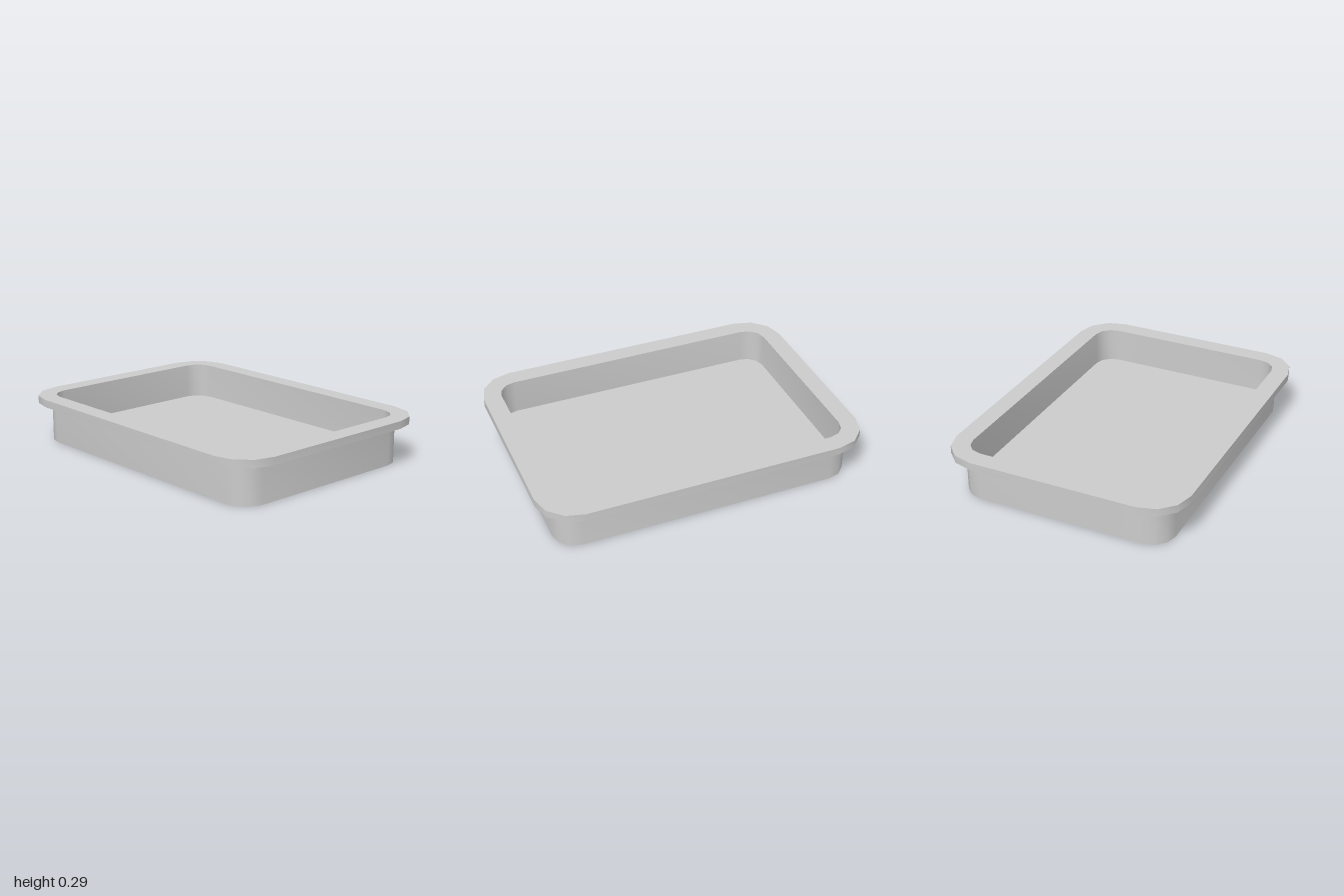
import * as THREE from 'three';
import { toCreasedNormals } from 'three/addons/utils/BufferGeometryUtils.js';

// centres of the corner arcs, shared by every outline
const CX = 0.51, CZ = 0.775, CORNER_STEPS = 3;

// rounded rectangle at height y; radius 'centre' (null) collapses it to a point
function outline([r, y]) {
  const points = [];
  for (let corner = 0; corner < 4; corner++) {
    const sx = corner === 0 || corner === 3 ? 1 : -1;
    const sz = corner < 2 ? 1 : -1;
    for (let i = 0; i <= CORNER_STEPS; i++) {
      const a = (corner + i / CORNER_STEPS) * Math.PI / 2;
      points.push(r === null
        ? [0, y, 0]
        : [sx * CX + r * Math.cos(a), y, sz * CZ + r * Math.sin(a)]);
    }
  }
  return points;
}

// skin running through successive [corner radius, height] outlines
function loft(name, profile, material) {
  const rings = profile.map(outline);
  const n = rings[0].length;
  const positions = [];
  for (let k = 0; k + 1 < rings.length; k++) {
    for (let i = 0; i < n; i++) {
      const j = (i + 1) % n;
      const a = rings[k][i], b = rings[k][j];
      const c = rings[k + 1][j], d = rings[k + 1][i];
      if (profile[k][0] !== null) positions.push(...a, ...c, ...b);
      if (profile[k + 1][0] !== null) positions.push(...a, ...d, ...c);
    }
  }
  const geometry = new THREE.BufferGeometry();
  geometry.setAttribute('position', new THREE.Float32BufferAttribute(positions, 3));
  const mesh = new THREE.Mesh(toCreasedNormals(geometry, Math.PI / 4), material);
  mesh.name = name;
  return mesh;
}

export function createModel() {
  const material = new THREE.MeshStandardMaterial({ color: 0xcccccc });
  const bodyR = 0.14, rimR = 0.225, basinR = 0.113;
  const rimBottom = 0.242, rimTop = 0.288, floorY = 0.07;

  const tray = new THREE.Group();
  tray.name = 'tray';
  tray.add(
    // underside and outer walls
    loft('body', [[null, 0], [bodyR, 0], [bodyR, rimBottom]], material),
    // overhanging lip
    loft('rim', [[bodyR, rimBottom], [rimR, rimBottom], [rimR, rimTop], [basinR, rimTop]], material),
    // inner walls and floor
    loft('basin', [[basinR, rimTop], [basinR, floorY], [null, floorY]], material),
  );
  return tray;
}
